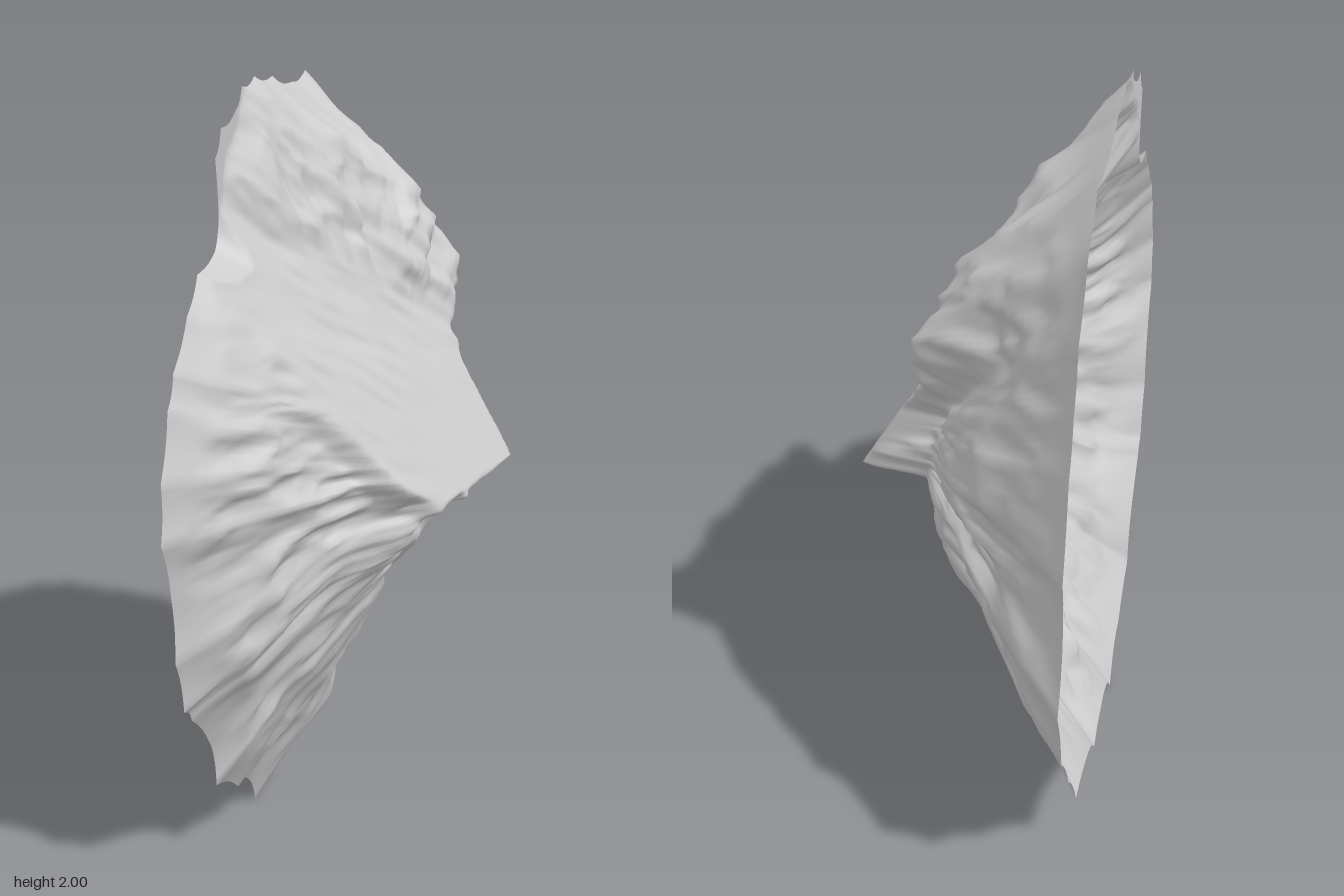
import * as THREE from 'three';

// Mountain relief: the height runs along +x, over a plane with u = -z and y.
const BASE = -0.33, CU = -0.02, CY = 1.0;
const RINGS = 110, STEPS = 8;

// Outline of the foot, counter-clockwise, as u, y
const RIM = [
  -0.18, 0, -0.08, 0.08, 0.05, 0.09, 0.18, 0.06, 0.31, 0.15, 0.565, 0.2, 0.73, 0.4, 0.87, 0.575,
  0.955, 0.79, 0.89, 0.95, 0.9, 1.15, 0.83, 1.385, 0.775, 1.53, 0.73, 1.69, 0.6, 1.86, 0.46, 1.97,
  0.31, 1.95, 0.1, 1.985, -0.08, 2, -0.2, 1.985, -0.26, 1.93, -0.395, 1.9, -0.45, 1.83, -0.43, 1.68,
  -0.47, 1.6, -0.62, 1.57, -0.71, 1.485, -0.83, 1.37, -0.88, 1.29, -0.945, 1.13, -0.955, 0.98,
  -0.89, 0.83, -0.87, 0.655, -0.81, 0.505, -0.75, 0.46, -0.59, 0.325, -0.55, 0.2, -0.35, 0.11, -0.25, 0.09,
];

// Border of the tilted upper side
const FACE = [
  [-0.36, 0.98], [-0.27, 0.92], [-0.1, 0.93], [0.16, 0.95], [0.19, 1.16], [0.29, 1.31], [0.4, 1.52],
  [0.46, 1.8], [0.48, 2.1], [-0.5, 2.1], [-0.46, 1.66], [-0.58, 1.54], [-0.5, 1.38], [-0.43, 1.13],
];

const { smoothstep, lerp } = THREE.MathUtils;
const bell = (v, mid, width) => Math.exp(-(((v - mid) / width) ** 2));

function hash(x, y, z) {
  const s = Math.sin(x * 127.1 + y * 311.7 + z * 74.7) * 43758.5453;
  return s - Math.floor(s);
}

// Smooth value noise, 0..1
function noise(x, y, z) {
  const [i, j, k] = [x, y, z].map(Math.floor);
  const [a, b, c] = [x - i, y - j, z - k].map((f) => f * f * (3 - 2 * f));
  const row = (dj, dk) => lerp(hash(i, j + dj, k + dk), hash(i + 1, j + dj, k + dk), a);
  return lerp(lerp(row(0, 0), row(1, 0), b), lerp(row(0, 1), row(1, 1), b), c);
}

// Distance outside the upper side (0 when inside)
function distanceToFace(u, y) {
  let inside = false, best = Infinity;
  FACE.forEach(([ax, ay], i) => {
    const [bx, by] = FACE[(i + 1) % FACE.length];
    const dx = bx - ax, dy = by - ay;
    const s = THREE.MathUtils.clamp(((u - ax) * dx + (y - ay) * dy) / (dx * dx + dy * dy), 0, 1);
    best = Math.min(best, Math.hypot(u - ax - s * dx, y - ay - s * dy));
    if ((ay > y) !== (by > y) && u < ax + ((y - ay) / dy) * dx) inside = !inside;
  });
  return inside ? 0 : best;
}

// Height at (u, y); t is 0 at the centre and 1 at the rim
function height(u, y, t) {
  const r = Math.hypot(u - CU, y - CY), a = Math.atan2(y - CY, u - CU);
  const fall = 1 - t;

  // Eroded spurs that run down from the summit, bent a little on the way
  const bend = a + 0.16 * (noise(u * 4 + 9, y * 4, 3) - 0.5);
  const spur = (f, g) => 1 - Math.abs(2 * noise(Math.cos(bend) * f + 40, Math.sin(bend) * f + 40, r * g) - 1);
  const rough = (spur(7, 4) - 0.6) * 0.04 + (spur(15, 7) - 0.6) * 0.028 + (spur(29, 10) - 0.6) * 0.012;
  const taper = smoothstep(r, 0.08, 0.4) * smoothstep(fall, 0, 0.2);

  // Conical flanks, fuller towards -z
  let flank = BASE + 0.6 * fall + rough * taper;
  flank += 0.08 * bell(a, 0.35, 0.35) * bell(t, 0.6, 0.22);

  // Flat-floored gully below the summit, narrowing downwards, with a rib on each side
  const half = lerp(0.06, 0.19, smoothstep(y, 0.2, 0.85));
  const gully = 1 - smoothstep(Math.abs(u + 0.02), half - 0.05, half + 0.05);
  flank -= 0.065 * gully * smoothstep(y, 0.1, 0.4) * (1 - smoothstep(y, 0.88, 0.96));
  flank += 0.08 * bell(u, -0.31, 0.07) * bell(y, 0.84, 0.13);
  flank += 0.03 * bell(u, 0.25, 0.07) * bell(y, 0.7, 0.2);

  // Smooth face sinking to the notch, and the rougher slope rising beyond its valley line
  const streak = (noise((u + y) * 9, (y - u * 0.6) * 4, 5) - 0.5) * 0.03
    + (noise((u + y) * 22, (y - u * 0.6) * 9, 7) - 0.5) * 0.014;
  const beyond = Math.max(0, (u - 0.2) * 0.47 + (y - 1.335) * 0.88);
  const plane = 0.33 + 0.3 * (u - 0.17) - 0.65 * (y - 0.95) + 0.3 * beyond;
  const broken = 1.3 * smoothstep(beyond, 0, 0.15) * smoothstep(fall, 0, 0.2);
  const face = Math.min(plane + streak * smoothstep(r, 0.1, 0.4), BASE + 1.1 * fall) + rough * broken;

  // Cliffs where the upper side breaks off
  const d = distanceToFace(u, y);
  const wobble = (noise(u * 22, y * 22, 8) - 0.5) * 0.04 * smoothstep(d, 0, 0.03);
  const width = 0.045 + 0.25 * Math.max(0, r - 0.4);
  const mask = 1 - smoothstep(d + wobble, 0, width);
  return Math.max(BASE, lerp(flank, face, mask));
}

export function createModel() {
  const count = RIM.length / 2, around = count * STEPS;
  const positions = [height(CU, CY, 0), CY, -CU], index = [];
  const vertex = (ring, j) => 1 + (ring - 1) * around + (j % around);

  for (let ring = 1; ring <= RINGS; ring++) {
    const t = ring / RINGS;
    for (let j = 0; j < around; j++) {
      const i = Math.floor(j / STEPS), n = (i + 1) % count, s = (j % STEPS) / STEPS;
      const reach = t * (1 - 0.012 * t * Math.sin(Math.PI * s)); // scalloped rim
      const u = lerp(CU, lerp(RIM[2 * i], RIM[2 * n], s), reach);
      const y = lerp(CY, lerp(RIM[2 * i + 1], RIM[2 * n + 1], s), reach);
      positions.push(height(u, y, t), y, -u);
      if (ring === 1) {
        index.push(0, vertex(1, j), vertex(1, j + 1));
      } else {
        const a = vertex(ring - 1, j), b = vertex(ring, j), c = vertex(ring, j + 1), d = vertex(ring - 1, j + 1);
        index.push(a, b, c, a, c, d);
      }
    }
  }

  const geometry = new THREE.BufferGeometry();
  geometry.setAttribute('position', new THREE.Float32BufferAttribute(positions, 3));
  geometry.setIndex(index);
  geometry.computeVertexNormals();

  // Open shell, hollow at the back
  const mountain = new THREE.Mesh(
    geometry,
    new THREE.MeshStandardMaterial({ color: 0xcccccc, side: THREE.DoubleSide }),
  );
  mountain.name = 'mountain';
  const group = new THREE.Group();
  group.name = 'mountainRelief';
  group.add(mountain);
  return group;
}
